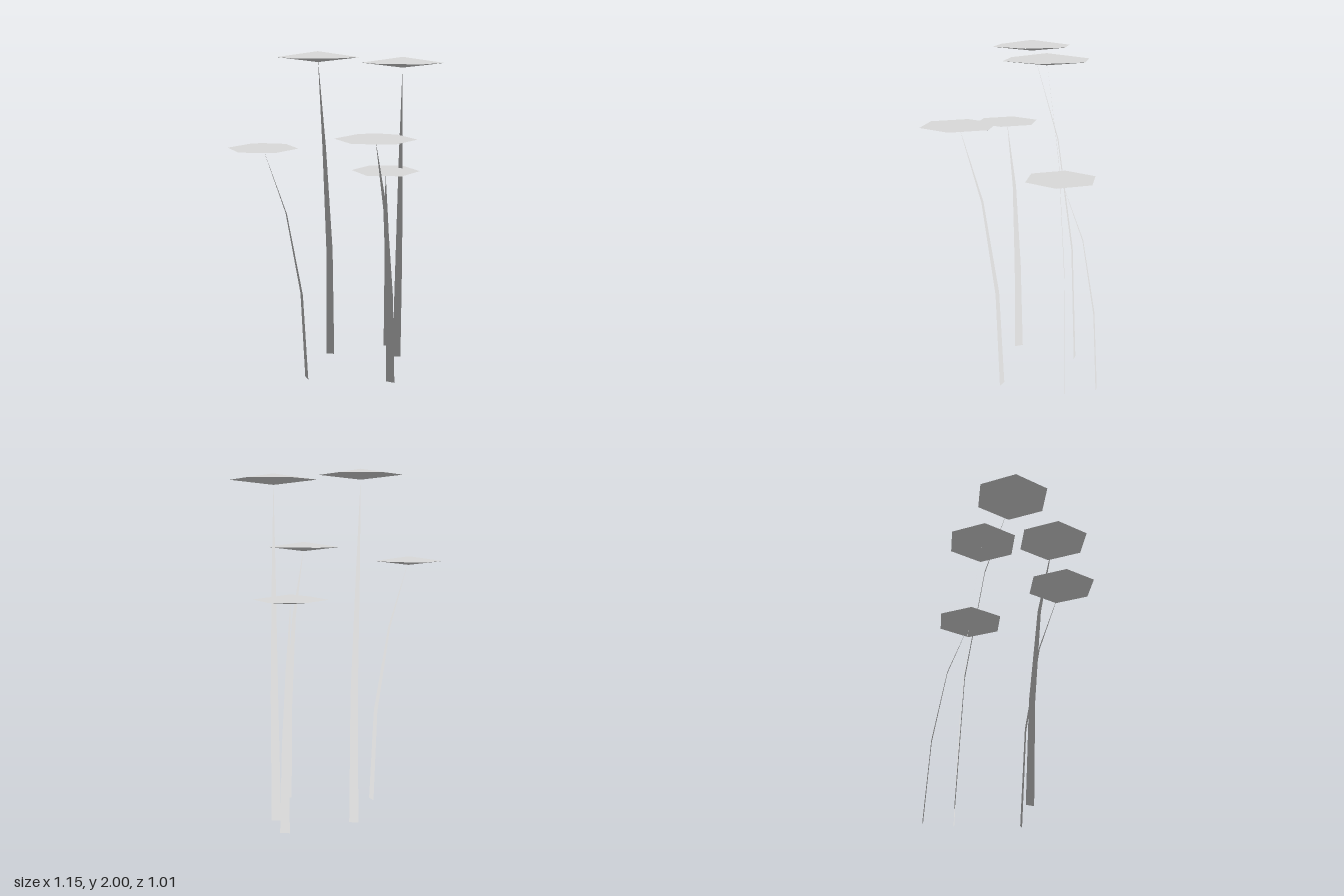
import * as THREE from 'three';

const foliage = new THREE.MeshStandardMaterial({ color: 0xd9d9d9 });
foliage.name = 'pale grey';

// Each plant: head centre, head radius, stem points from tip to base, base edge direction (x, z)
const plants = [
  { head: [-0.047, 1.965, -0.18], r: 0.239, edge: [0.022, 0.048],
    stem: [[0.10, 1.42, -0.25], [0.195, 0.74, -0.285], [0.221, 0, -0.302]] },
  { head: [0.33, 1.929, 0.161], r: 0.243, edge: [0.03, 0.045],
    stem: [[0.39, 1.38, 0.122], [0.425, 0.72, 0.1], [0.435, 0, 0.088]] },
  { head: [-0.179, 1.546, 0.306], r: 0.225, edge: [0.012, 0.054],
    stem: [[-0.03, 1.12, 0.28], [0.06, 0.58, 0.26], [0.089, 0, 0.256]] },
  { head: [-0.372, 1.466, -0.33], r: 0.203, edge: [-0.027, 0.046],
    stem: [[-0.255, 1.07, -0.265], [-0.185, 0.56, -0.215], [-0.163, 0, -0.202]] },
  { head: [0.345, 1.269, 0.041], r: 0.212, edge: [0.024, 0.048],
    stem: [[0.46, 0.92, -0.02], [0.53, 0.48, -0.05], [0.556, 0, -0.059]] },
];

// Foliage is shaded evenly: every normal points up
function foliageMesh(name, points, faces) {
  const geo = new THREE.BufferGeometry();
  geo.setAttribute('position', new THREE.Float32BufferAttribute(points.flat(), 3));
  geo.setAttribute('normal', new THREE.Float32BufferAttribute(points.flatMap(() => [0, 1, 0]), 3));
  geo.setIndex(faces.flat());
  const mesh = new THREE.Mesh(geo, foliage);
  mesh.name = name;
  return mesh;
}

// Point i of a ring of n
const ringPoint = (i, n, radius) => {
  const a = i * 2 * Math.PI / n;
  return [radius * Math.cos(a), 0, radius * Math.sin(a)];
};

// Shallow six-sided cap with a flat base
function cap(r) {
  const points = [[0, r * 0.14, 0], [0, 0, 0]];
  const faces = [];
  for (let i = 0; i < 6; i++) {
    const cur = 2 + i, next = 2 + (i + 1) % 6;
    points.push(ringPoint(i, 6, r));
    faces.push([0, next, cur], [1, cur, next]);
  }
  return foliageMesh('flowerCap', points, faces);
}

// Six-pointed star hanging under the cap
function star(r) {
  const points = [[0, -r * 0.115, 0]];
  const faces = [];
  for (let i = 0; i < 12; i++) {
    points.push(ringPoint(i, 12, i % 2 ? r * 0.52 : r));
    faces.push([0, 1 + i, 1 + (i + 1) % 12]);
  }
  const mesh = foliageMesh('starUnderside', points, faces);
  mesh.position.y = -0.0005;
  return mesh;
}

// Flat tapering blade: two faces back to back, a hair apart
function stem(tip, path, edge) {
  const widths = [0.42, 0.78, 1];
  const length = Math.hypot(...edge);
  const points = [], faces = [];
  for (const side of [1, -1]) {
    const ox = -side * 0.0005 * edge[1] / length, oz = side * 0.0005 * edge[0] / length;
    const start = points.length;
    points.push([tip[0] + ox, tip[1], tip[2] + oz]);
    path.forEach(([x, y, z], i) => {
      const dx = side * edge[0] * widths[i] / 2, dz = side * edge[1] * widths[i] / 2;
      points.push([x - dx + ox, y, z - dz + oz], [x + dx + ox, y, z + dz + oz]);
    });
    faces.push([start, start + 1, start + 2]);
    for (let i = start + 1; i < points.length - 2; i += 2) {
      faces.push([i, i + 2, i + 1], [i + 1, i + 2, i + 3]);
    }
  }
  return foliageMesh('stem', points, faces);
}

export function createModel() {
  const model = new THREE.Group();
  model.name = 'flowerCluster';
  for (const { head, r, edge, stem: path } of plants) {
    const flower = new THREE.Group();
    flower.name = 'flower';
    const flowerHead = new THREE.Group();
    flowerHead.name = 'flowerHead';
    flowerHead.position.set(...head);
    flowerHead.add(cap(r), star(r));
    flower.add(flowerHead, stem(head, path, edge));
    model.add(flower);
  }
  return model;
}
